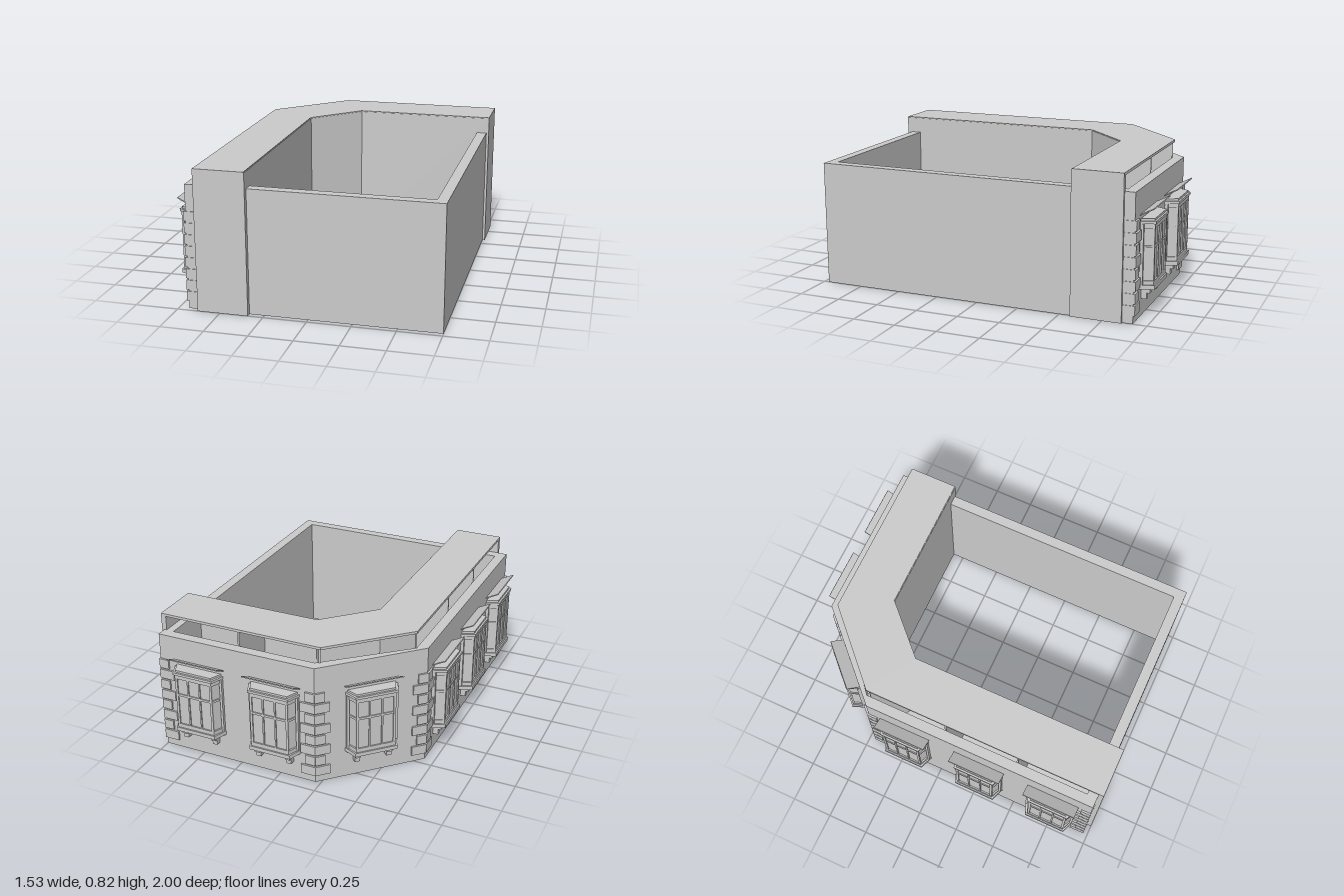
import * as THREE from 'three';

const material = new THREE.MeshStandardMaterial({ color: 0xcccccc, flatShading: true, side: THREE.DoubleSide });

function add(parent, name, geometry, x = 0, y = 0, z = 0) {
  const mesh = new THREE.Mesh(geometry, material);
  mesh.name = name;
  mesh.position.set(x, y, z);
  parent.add(mesh);
  return mesh;
}

// Extrude a plan outline given as [x, z] pairs from y0 up to y1
function plan(points, y0, y1, hole) {
  const toVectors = (list) => list.map(([x, z]) => new THREE.Vector2(x, -z));
  const shape = new THREE.Shape(toVectors(points));
  if (hole) shape.holes.push(new THREE.Path(toVectors(hole)));
  const geometry = new THREE.ExtrudeGeometry(shape, { depth: y1 - y0, bevelEnabled: false });
  return geometry.rotateX(-Math.PI / 2).translate(0, y0, 0);
}

// Vertical panel between two plan points
function panel(parent, name, [x0, z0], [x1, z1], y0, y1, thickness) {
  const box = new THREE.BoxGeometry(Math.hypot(x1 - x0, z1 - z0), y1 - y0, thickness);
  const mesh = add(parent, name, box, (x0 + x1) / 2, (y0 + y1) / 2, (z0 + z1) / 2);
  mesh.rotation.y = -Math.atan2(z1 - z0, x1 - x0);
}

// Group on a facade whose local +z points out of the wall
function onWall(parent, name, x, z, angle) {
  const group = new THREE.Group();
  group.name = name;
  group.position.set(x, 0, z);
  group.rotation.y = angle;
  parent.add(group);
  return group;
}

// Bay plan with splayed cheeks, grown by g
const bayPlan = (g) => [
  [-0.15 - g, -0.01], [-0.115 - g, 0.07 + g], [0.115 + g, 0.07 + g], [0.15 + g, -0.01],
];

function bayWindow(parent, x, z, angle) {
  const bay = onWall(parent, 'bayWindow', x, z, angle);
  add(bay, 'glazing', plan(bayPlan(-0.006), 0.18, 0.54));
  add(bay, 'sill', plan(bayPlan(0.01), 0.165, 0.188));
  add(bay, 'bottomRail', plan(bayPlan(0.002), 0.188, 0.212));
  add(bay, 'transom', plan(bayPlan(0), 0.395, 0.408));
  add(bay, 'topRail', plan(bayPlan(0.002), 0.505, 0.53));
  add(bay, 'cornice', plan(bayPlan(0.009), 0.53, 0.545));
  add(bay, 'bayRoof', plan(bayPlan(-0.002), 0.545, 0.557));
  // posts and glazing bars
  for (const px of [-0.11, -0.037, 0.037, 0.11]) {
    const w = Math.abs(px) > 0.1 ? 0.014 : 0.009;
    add(bay, 'mullion', new THREE.BoxGeometry(w, 0.34, 0.012), px, 0.36, 0.065);
  }
  for (const side of [-1, 1]) {
    add(bay, 'wallPost', new THREE.BoxGeometry(0.014, 0.34, 0.02), side * 0.145, 0.36, 0.008);
    // stepped corbel
    add(bay, 'corbelUpper', new THREE.BoxGeometry(0.03, 0.03, 0.05), side * 0.095, 0.15, 0.025);
    add(bay, 'corbelLower', new THREE.BoxGeometry(0.03, 0.04, 0.032), side * 0.095, 0.12, 0.016);
  }
  // thin board tilted up and out above the window
  const board = add(bay, 'awningBoard', new THREE.BoxGeometry(0.32, 0.006, 0.086), 0, 0.6, 0.037);
  board.rotation.x = -0.48;
}

// Column of alternating corner stones; dir is the local x way they run
function quoins(parent, x, z, angle, dir) {
  const column = onWall(parent, 'cornerStones', x, z, angle);
  for (let i = 0; i < 8; i++) {
    const length = i % 2 ? 0.06 : 0.09;
    add(column, 'cornerStone', new THREE.BoxGeometry(length, 0.057, 0.07),
      dir * (length / 2 - 0.004), 0.074 + i * 0.067, -0.024);
  }
}

export function createModel() {
  const model = new THREE.Group();
  model.name = 'building';

  // Outer walls with the cut corner
  add(model, 'outerWalls', plan(
    [[-0.69, 0.97], [-0.69, -0.45], [-0.22, -0.92], [0.75, -0.92], [0.75, 0.97]], 0, 0.725,
    [[-0.63, 0.91], [-0.63, -0.475], [-0.195, -0.86], [0.69, -0.86], [0.69, 0.91]]));

  // Room range behind the facades: floor, roof deck, inner wall, partitions
  const rooms = new THREE.Group();
  rooms.name = 'roomRange';
  model.add(rooms);
  const outer = [[-0.63, 1], [-0.63, -0.47], [-0.23, -0.86], [0.765, -0.86]];
  const inner = [[0.765, -0.57], [-0.07, -0.57], [-0.34, -0.3], [-0.34, 1]];
  add(rooms, 'floor', plan([...outer, ...inner], 0, 0.012));
  add(rooms, 'roofDeck', plan([...outer, ...inner], 0.81, 0.825));
  for (let i = 0; i < 3; i++) panel(rooms, 'innerWall', inner[i], inner[i + 1], 0, 0.82, 0.008);
  const partitions = [
    [[-0.63, 0.48], [-0.34, 0.48]], [[-0.63, 0.03], [-0.34, 0.03]],
    [[-0.62, -0.46], [-0.34, -0.3]], [[-0.22, -0.85], [-0.07, -0.57]],
    [[0.27, -0.86], [0.27, -0.57]],
  ];
  for (const [a, b] of partitions) panel(rooms, 'partition', a, b, 0, 0.815, 0.01);
  panel(rooms, 'frontEnd', [-0.63, 0.985], [-0.34, 0.985], 0, 0.825, 0.03);
  panel(rooms, 'sideEnd', [0.75, -0.86], [0.75, -0.57], 0, 0.825, 0.03);

  // Facade directions
  const side = -Math.PI / 2, cut = -Math.PI * 0.75, back = Math.PI;

  for (const z of [0.735, 0.265, -0.215]) bayWindow(model, -0.69, z, side);
  bayWindow(model, -0.455, -0.685, cut);
  for (const x of [0.025, 0.5]) bayWindow(model, x, -0.92, back);

  quoins(model, -0.69, 0.97, side, -1);
  quoins(model, -0.69, -0.45, side, 1);
  quoins(model, -0.69, -0.45, cut, -1);
  quoins(model, -0.22, -0.92, cut, 1);
  quoins(model, -0.22, -0.92, back, -1);
  quoins(model, 0.75, -0.92, back, 1);

  return model;
}
